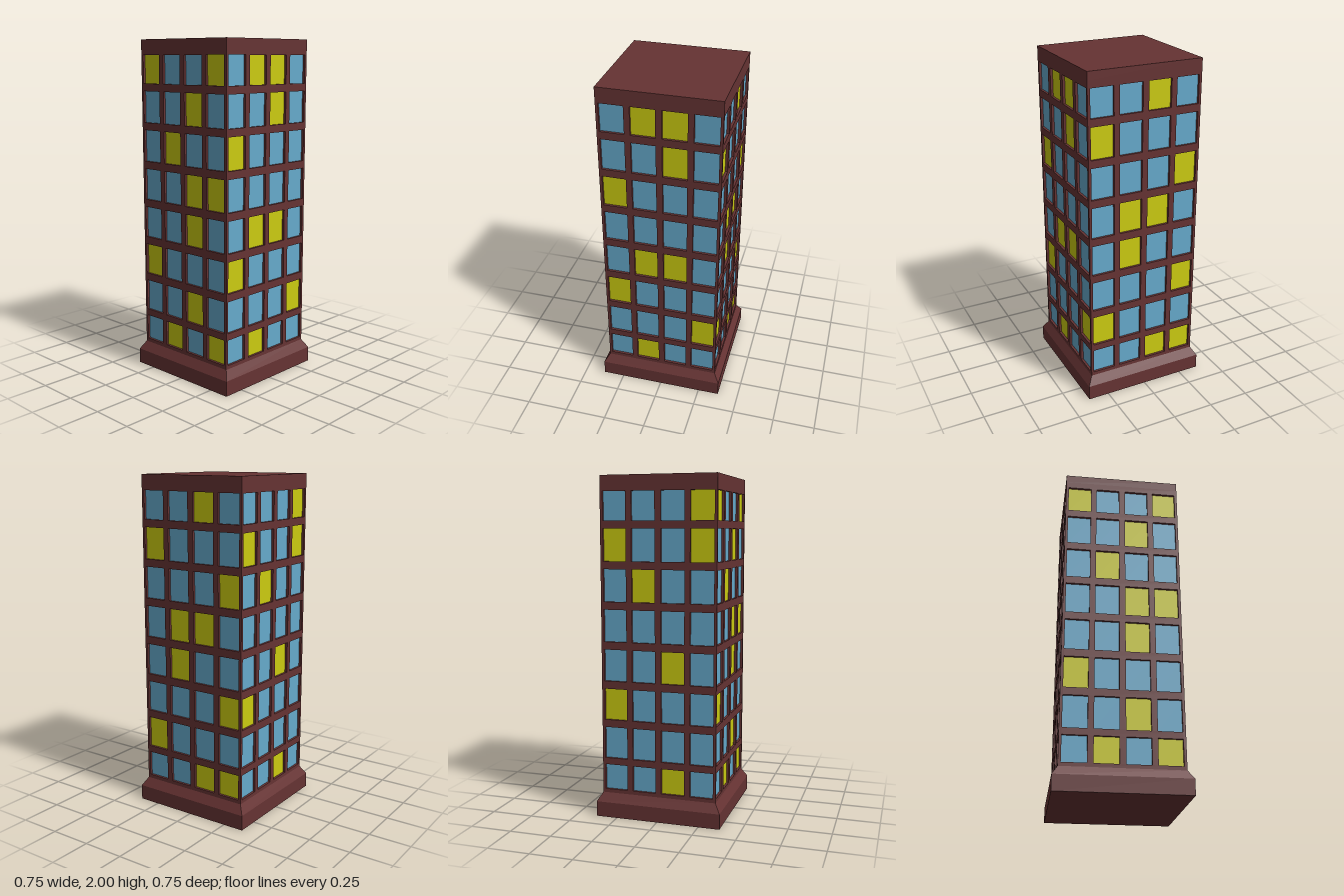
import * as THREE from 'three';

const HALF = 0.345, RECESS = 0.015, WALL_BOTTOM = 0.14, WALL_TOP = 1.95;

// Window columns [left, right] and rows [bottom, top], rows listed from the top down
const COLUMNS = [[-0.329, -0.191], [-0.157, -0.018], [0.018, 0.157], [0.191, 0.329]];
const ROWS = [[1.745, 1.91], [1.515, 1.7], [1.283, 1.47], [1.05, 1.237],
  [0.818, 1.004], [0.587, 0.772], [0.355, 0.542], [0.164, 0.315]];

// Lit windows (Y) of each side, seen from outside, top row first
const SIDES = [
  { name: 'front', turn: 0, lit: 'Y..Y ..Y. .Y.. ..YY ..Y. Y... ..Y. .Y.Y' },
  { name: 'right', turn: 1, lit: '.YY. ..Y. Y... .... .YY. Y... ...Y .Y..' },
  { name: 'back', turn: 2, lit: '..Y. Y... ...Y .YY. .Y.. ...Y Y... ..YY' },
  { name: 'left', turn: 3, lit: '...Y Y..Y .Y.. .... ..Y. Y... .... ..Y.' },
];

function rectangle(Type, [x0, x1], [y0, y1]) {
  const p = new Type();
  p.moveTo(x0, y0);
  p.lineTo(x1, y0);
  p.lineTo(x1, y1);
  p.lineTo(x0, y1);
  p.closePath();
  return p;
}

// Wall panel with window openings; its side edges are mitred to meet the next wall
function wallGeometry() {
  const shape = rectangle(THREE.Shape, [-HALF, HALF], [WALL_BOTTOM, WALL_TOP]);
  for (const row of ROWS) {
    for (const column of COLUMNS) shape.holes.push(rectangle(THREE.Path, column, row));
  }
  const geometry = new THREE.ExtrudeGeometry(shape, { depth: RECESS, bevelEnabled: false });
  const pos = geometry.attributes.position;
  for (let i = 0; i < pos.count; i++) {
    if (pos.getZ(i) < RECESS / 2 && Math.abs(pos.getX(i)) > HALF - 0.001) {
      pos.setX(i, Math.sign(pos.getX(i)) * (HALF - RECESS));
    }
  }
  geometry.translate(0, 0, HALF - RECESS);
  geometry.computeVertexNormals();
  return geometry;
}

export function createModel() {
  const brick = new THREE.MeshStandardMaterial({ color: 0x663333, flatShading: true });
  const glass = new THREE.MeshStandardMaterial({ color: 0x66aacc });
  const litGlass = new THREE.MeshStandardMaterial({ color: 0xcccc11 });
  const model = new THREE.Group();
  model.name = 'towerBlock';

  function add(parent, name, geometry, material, x = 0, y = 0, z = 0) {
    const mesh = new THREE.Mesh(geometry, material);
    mesh.name = name;
    mesh.position.set(x, y, z);
    parent.add(mesh);
    return mesh;
  }

  // Plinth with a sloping top
  add(model, 'plinth', new THREE.BoxGeometry(0.754, 0.09, 0.754), brick, 0, 0.045, 0);
  const slope = new THREE.CylinderGeometry(HALF * Math.SQRT2, 0.377 * Math.SQRT2, 0.052, 4, 1);
  slope.rotateY(Math.PI / 4);
  add(model, 'plinthSlope', slope, brick, 0, 0.116, 0);

  // Roof slab
  add(model, 'roof', new THREE.BoxGeometry(HALF * 2, 2 - WALL_TOP, HALF * 2), brick,
    0, (2 + WALL_TOP) / 2, 0);

  // Four walls with recessed panes
  const wall = wallGeometry();
  for (const { name, turn, lit } of SIDES) {
    const side = new THREE.Group();
    side.name = name + 'Side';
    side.rotation.y = turn * Math.PI / 2;
    add(side, name + 'Wall', wall, brick);
    const pattern = lit.split(' ');
    ROWS.forEach(([y0, y1], r) => COLUMNS.forEach(([x0, x1], c) => {
      const isLit = pattern[r][c] === 'Y';
      add(side, isLit ? 'litWindow' : 'window', new THREE.PlaneGeometry(x1 - x0, y1 - y0),
        isLit ? litGlass : glass, (x0 + x1) / 2, (y0 + y1) / 2, HALF - RECESS + 0.0005);
    }));
    model.add(side);
  }
  return model;
}
